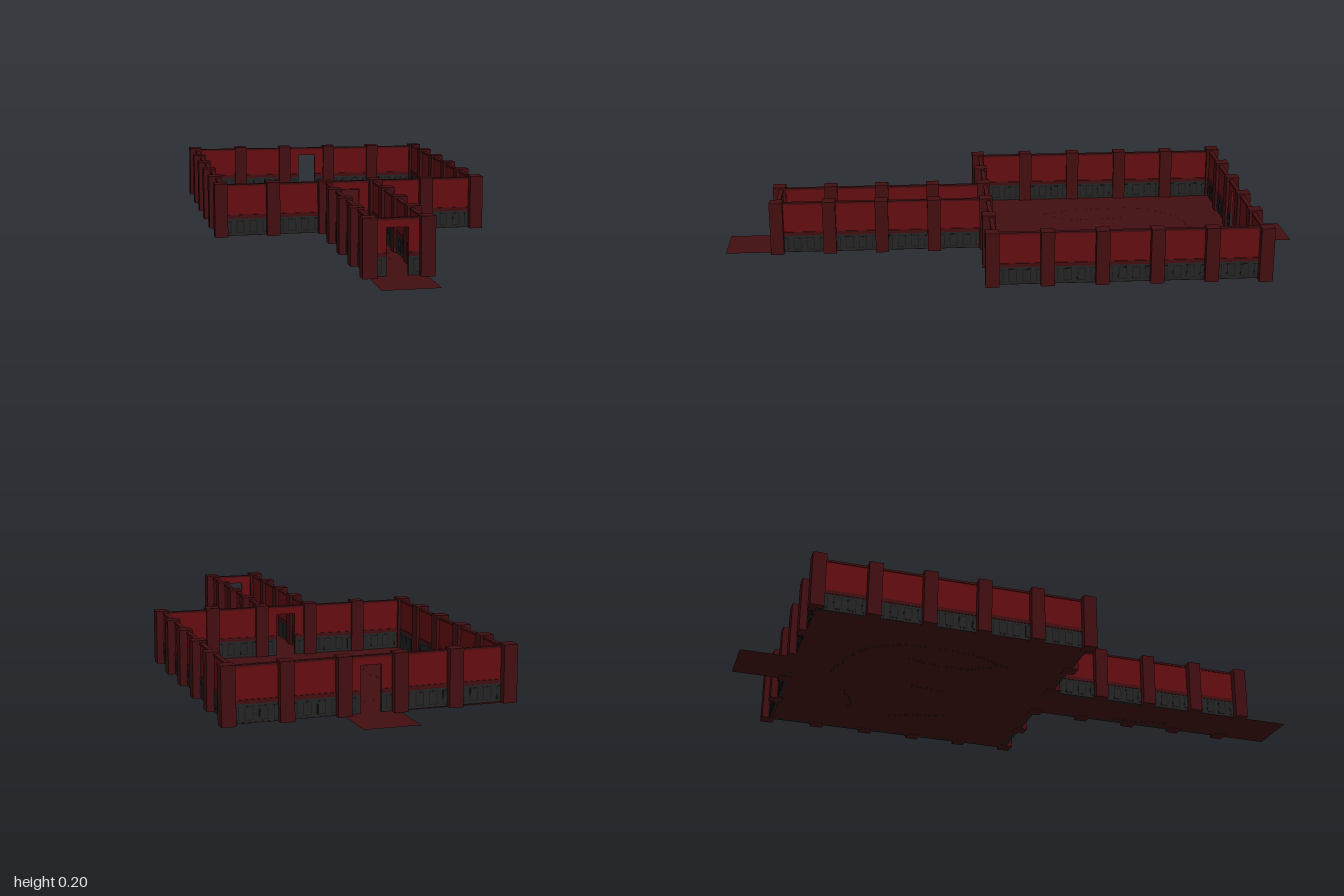
import * as THREE from 'three';
import { mergeGeometries } from 'three/addons/utils/BufferGeometryUtils.js';

const T = 2 / 11;            // side of one floor tile
const BASE = 0.011;          // floor level
const BACK = -4.5 * T, FRONT = 0.5 * T, END = 4.5 * T, SIDE = 2.5 * T;

const mat = (color) => new THREE.MeshStandardMaterial({ color, flatShading: true });
const darkRed = mat(0x420e10), red = mat(0x640d0f), stone = mat(0x232323), inset = mat(0x191919);
const moss = mat(0x2c3a12);
const floorMat = mat(0x420e10);
floorMat.side = THREE.DoubleSide;

function box(name, material, x0, x1, y0, y1, z0, z1) {
  const g = new THREE.BoxGeometry(x1 - x0, y1 - y0, z1 - z0);
  const m = new THREE.Mesh(g, material);
  m.position.set((x0 + x1) / 2, (y0 + y1) / 2, (z0 + z1) / 2);
  m.name = name;
  return m;
}

// A stretch of wall along x: stone dado, rail, recessed red panel, coping
function stretch(group, x0, x1, insets) {
  group.add(
    box('dado', stone, x0, x1, BASE, 0.071, -0.013, -0.002),
    box('dadoRail', darkRed, x0, x1, 0.071, 0.084, -0.015, 0),
    box('upperPanel', red, x0, x1, 0.084, 0.184, -0.012, -0.003),
    box('coping', darkRed, x0, x1, 0.184, 0.191, -0.015, 0),
  );
  const step = (x1 - x0) / insets;
  for (let i = 0; i < insets; i++) {
    const c = x0 + (i + 0.5) * step;
    group.add(box('dadoFrame', inset, c - 0.014, c + 0.014, 0.02, 0.064, -0.014, -0.001));
    group.add(box('dadoTile', stone, c - 0.011, c + 0.011, 0.023, 0.061, -0.0145, -0.0005));
  }
}

// One wall module; its outer face lies on local z = 0
function wall(x, z, turn, door = false) {
  const g = new THREE.Group();
  g.name = door ? 'doorwayWall' : 'wall';
  const h = T / 2;
  if (door) {
    stretch(g, -h, -0.034, 1);
    stretch(g, 0.034, h, 1);
    g.add(box('lintelPanel', red, -0.034, 0.034, 0.161, 0.184, -0.012, -0.003));
    g.add(box('lintelCoping', darkRed, -0.034, 0.034, 0.184, 0.191, -0.015, 0));
  } else stretch(g, -h, h, 4);
  g.position.set(x, 0, z);
  g.rotation.y = turn;
  return g;
}

function pillar(x, z) {
  const r = 0.0227;
  return box('pillar', darkRed, x - r, x + r, 0.01, 0.197, z - r, z + r);
}

function floor(name, x0, x1, z0, z1) {
  const m = new THREE.Mesh(new THREE.PlaneGeometry(x1 - x0, z1 - z0).rotateX(-Math.PI / 2), floorMat);
  m.position.set((x0 + x1) / 2, BASE, (z0 + z1) / 2);
  m.name = name;
  return m;
}

// Tiny tufts of moss strung along cracks in the floor
function mossCracks() {
  let seed = 7;
  const rnd = () => (seed = (seed * 16807) % 2147483647) / 2147483647;
  const paths = [
    [[-0.24, -0.12], [-0.3, -0.28], [-0.29, -0.52], [-0.2, -0.63], [-0.03, -0.68]],
    [[-0.26, -0.15], [-0.19, -0.22], [-0.18, -0.35], [-0.21, -0.46]],
    [[0.12, -0.61], [0.18, -0.57], [0.26, -0.56]],
    [[0.28, -0.4], [0.24, -0.31], [0.22, -0.22]],
    [[0, -0.39], [0.02, -0.28]],
    [[0.06, 0.38], [0.03, 0.58]],
  ];
  const tufts = [];
  for (const path of paths) {
    const curve = new THREE.CatmullRomCurve3(path.map(([x, z]) => new THREE.Vector3(x, 0, z)));
    const n = Math.round(curve.getLength() / 0.016);
    for (let i = 0; i <= n; i++) {
      const p = curve.getPoint(i / n);
      const height = 0.007 + rnd() * 0.003;
      tufts.push(new THREE.ConeGeometry(0.003, height, 3).rotateY(rnd() * 6)
        .translate(p.x + (rnd() - 0.5) * 0.012, 0.005 + height / 2, p.z + (rnd() - 0.5) * 0.012));
    }
  }
  const m = new THREE.Mesh(mergeGeometries(tufts), moss);
  m.name = 'mossTufts';
  return m;
}

export function createModel() {
  const model = new THREE.Group();
  model.name = 'hallWithCorridor';

  // Floors
  model.add(
    floor('hallFloor', -SIDE, SIDE, BACK, FRONT),
    floor('corridorFloor', -T / 2, T / 2, FRONT, 1),
    floor('backStep', -T / 2, T / 2, -1, BACK),
    mossCracks(),
  );

  // Hall: the back wall leans very slightly to one side
  const backWall = new THREE.Group();
  backWall.name = 'backWall';
  backWall.rotation.z = -0.009;
  for (let i = -2; i <= 2; i++) {
    model.add(wall(i * T, FRONT, 0, i === 0));
    backWall.add(wall(i * T, BACK, Math.PI, i === 0));
    for (const s of [-1, 1]) model.add(wall(s * SIDE, (i - 2) * T, s * Math.PI / 2));
  }
  for (let i = 0; i < 6; i++) {
    const x = (i - 2.5) * T;
    model.add(pillar(x, FRONT));
    backWall.add(pillar(x, BACK));
  }
  model.add(backWall);

  // Hall side pillars and the corridor walls
  for (const s of [-1, 1]) {
    for (let i = 1; i <= 4; i++) {
      model.add(pillar(s * SIDE, BACK + i * T));
      model.add(wall(s * T / 2, i * T, s * Math.PI / 2));
      model.add(pillar(s * T / 2, FRONT + i * T));
    }
  }
  model.add(wall(0, END, 0, true));
  return model;
}
